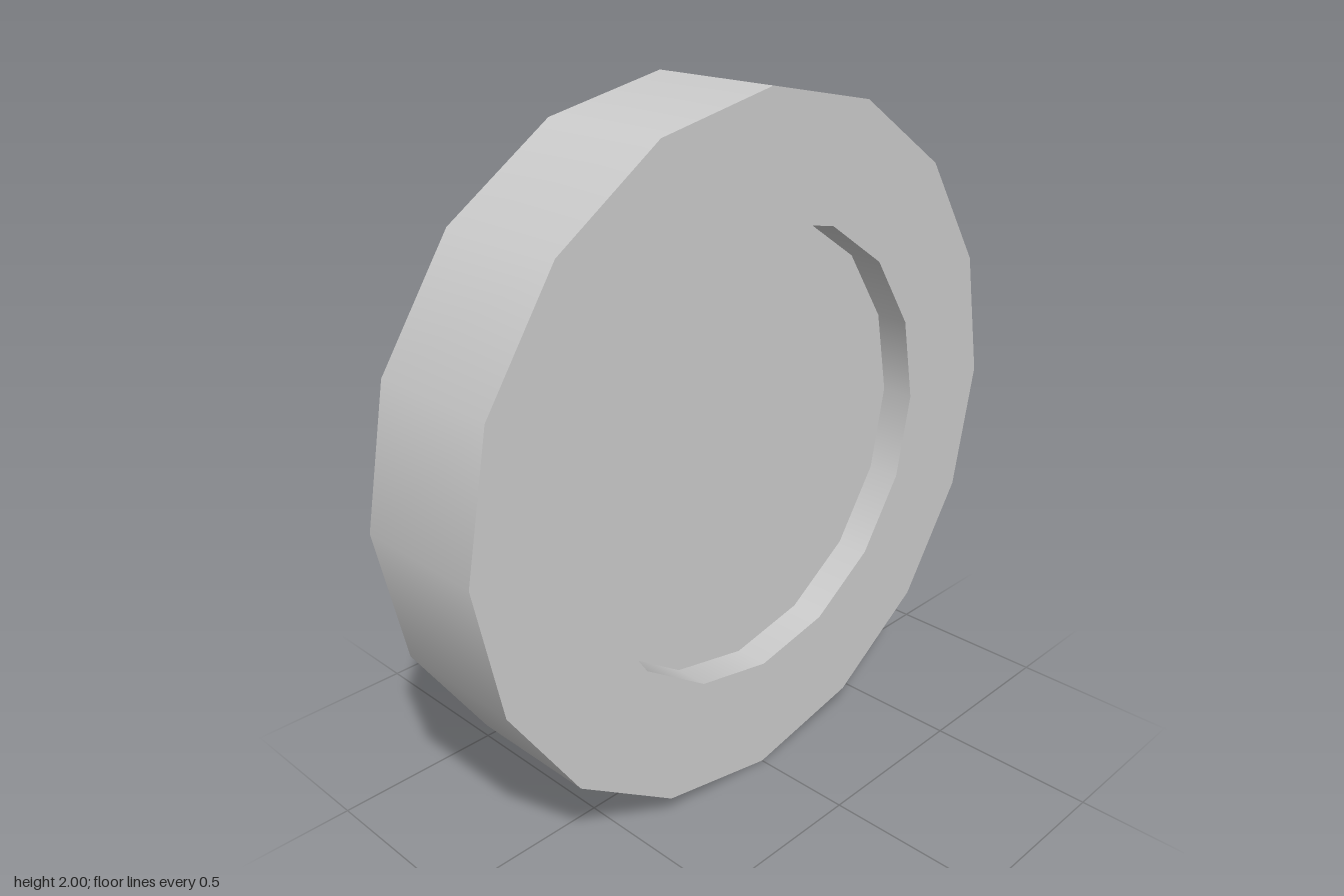
import * as THREE from 'three';
import { mergeGeometries } from 'three/addons/utils/BufferGeometryUtils.js';

const SIDES = 16;
const OUTER = 1, INNER = 0.655;   // rim radii
const RIM_Z = 0.2, PANEL_Z = 0.1; // half thicknesses

export function createModel() {
  const group = new THREE.Group();
  group.name = 'wheel';
  const material = new THREE.MeshStandardMaterial({ color: 0xcccccc });

  const add = (name, geometry) => {
    const mesh = new THREE.Mesh(geometry, material);
    mesh.name = name;
    mesh.position.y = OUTER;
    group.add(mesh);
    return mesh;
  };

  // Rim: each profile segment is its own lathe, so the corners stay sharp
  const profile = [
    [INNER, -PANEL_Z], [INNER, -RIM_Z], [OUTER, -RIM_Z],
    [OUTER, RIM_Z], [INNER, RIM_Z], [INNER, PANEL_Z],
  ].map(([r, z]) => new THREE.Vector2(r, z));
  const bands = profile.slice(1).map((p, i) => new THREE.LatheGeometry([profile[i], p], SIDES));
  add('rim', mergeGeometries(bands).rotateX(Math.PI / 2));

  // Recessed panels closing the front and back
  add('frontPanel', new THREE.CircleGeometry(INNER, SIDES)).position.z = PANEL_Z;
  const back = add('backPanel', new THREE.CircleGeometry(INNER, SIDES));
  back.position.z = -PANEL_Z;
  back.rotation.y = Math.PI;

  return group;
}
